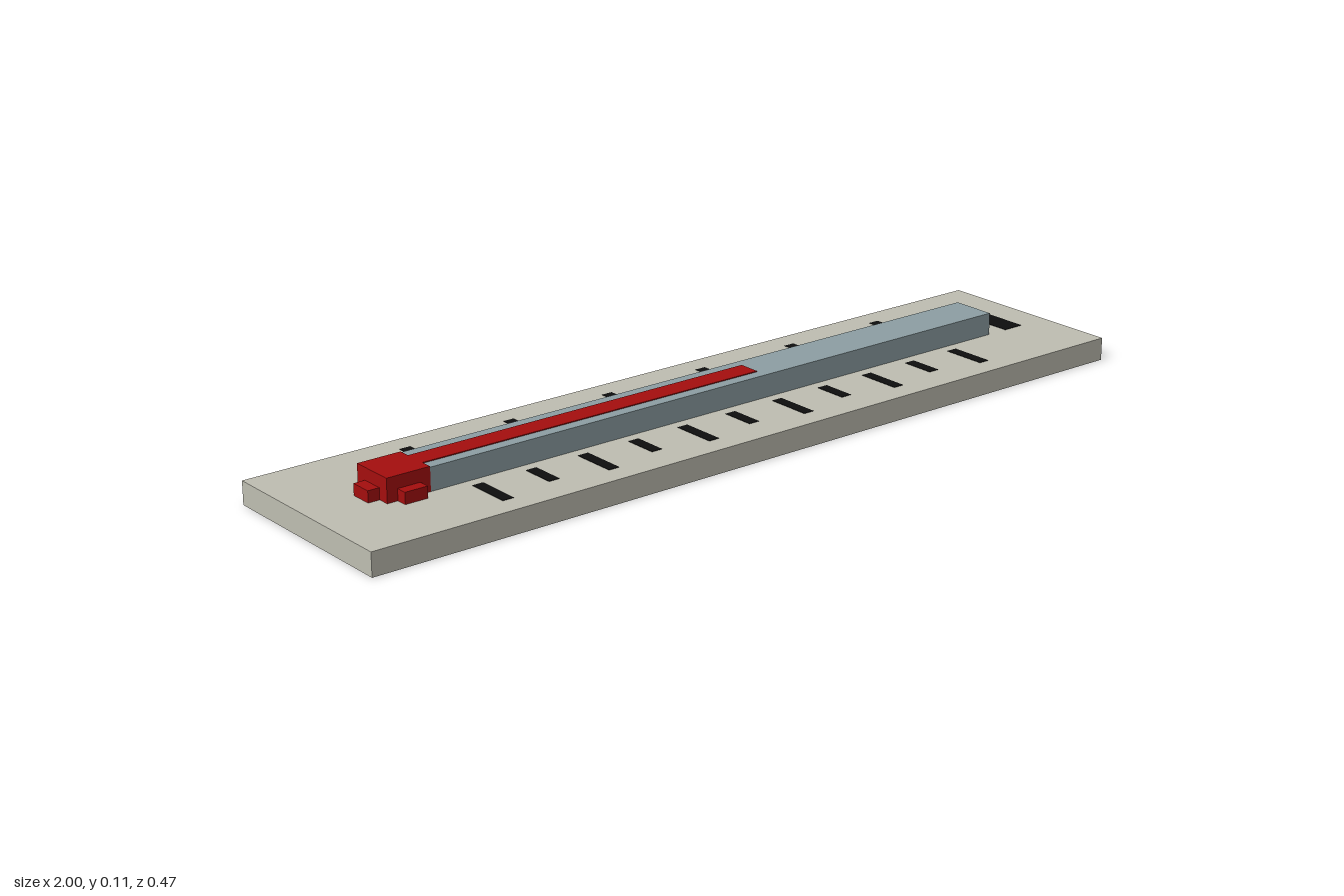
import * as THREE from 'three';

export function createModel() {
  const model = new THREE.Group();
  model.name = 'thermometer';

  const mat = (name, color) => {
    const m = new THREE.MeshStandardMaterial({ color });
    m.name = name;
    return m;
  };
  const stone = mat('warm grey', 0xbfbeb2);
  const glass = mat('glass blue grey', 0x8d9fa4);
  const red = mat('red', 0xa50e0e);
  const black = mat('black', 0x0e0e0e);

  // Box given by its min and max along each axis
  const box = (name, material, [x0, x1], [y0, y1], [z0, z1], parent = model) => {
    const mesh = new THREE.Mesh(new THREE.BoxGeometry(x1 - x0, y1 - y0, z1 - z0), material);
    mesh.position.set((x0 + x1) / 2, (y0 + y1) / 2, (z0 + z1) / 2);
    mesh.name = name;
    parent.add(mesh);
  };

  const top = 0.053;      // upper face of the backing board
  const tubeTop = 0.105;  // upper face of the glass tube

  box('board', stone, [-1, 1], [0, top], [-0.237, 0.237]);
  box('tube', glass, [-0.74, 0.816], [top, tubeTop], [-0.053, 0.053]);
  box('liquidColumn', red, [-0.74, 0.132], [tubeTop, tubeTop + 0.002], [-0.026, 0.026]);

  // Stepped bulb: core, side arms and end nub
  const bulb = new THREE.Group();
  bulb.name = 'bulb';
  model.add(bulb);
  box('bulbCore', red, [-0.843, -0.74], [top, 0.107], [-0.053, 0.053], bulb);
  for (const s of [-1, 1]) {
    const z = s < 0 ? [-0.079, -0.053] : [0.053, 0.079];
    box('bulbArm', red, [-0.818, -0.764], [top, 0.079], z, bulb);
  }
  box('bulbNub', red, [-0.87, -0.843], [top, 0.079], [-0.026, 0.026], bulb);

  // Scale marks, alternating long and short on both sides
  const marks = new THREE.Group();
  marks.name = 'scaleMarks';
  model.add(marks);
  for (let i = 0; i < 11; i++) {
    const x = -0.645 + i * 0.1315;
    const end = i % 2 ? 0.158 : 0.184;
    for (const z of [[-end, -0.079], [0.079, end]]) {
      box(i % 2 ? 'shortMark' : 'longMark', black, [x - 0.013, x + 0.013], [top, top + 0.001], z, marks);
    }
  }
  box('endMark', black, [0.869, 0.922], [top, top + 0.001], [-0.053, 0.053], marks);

  return model;
}
